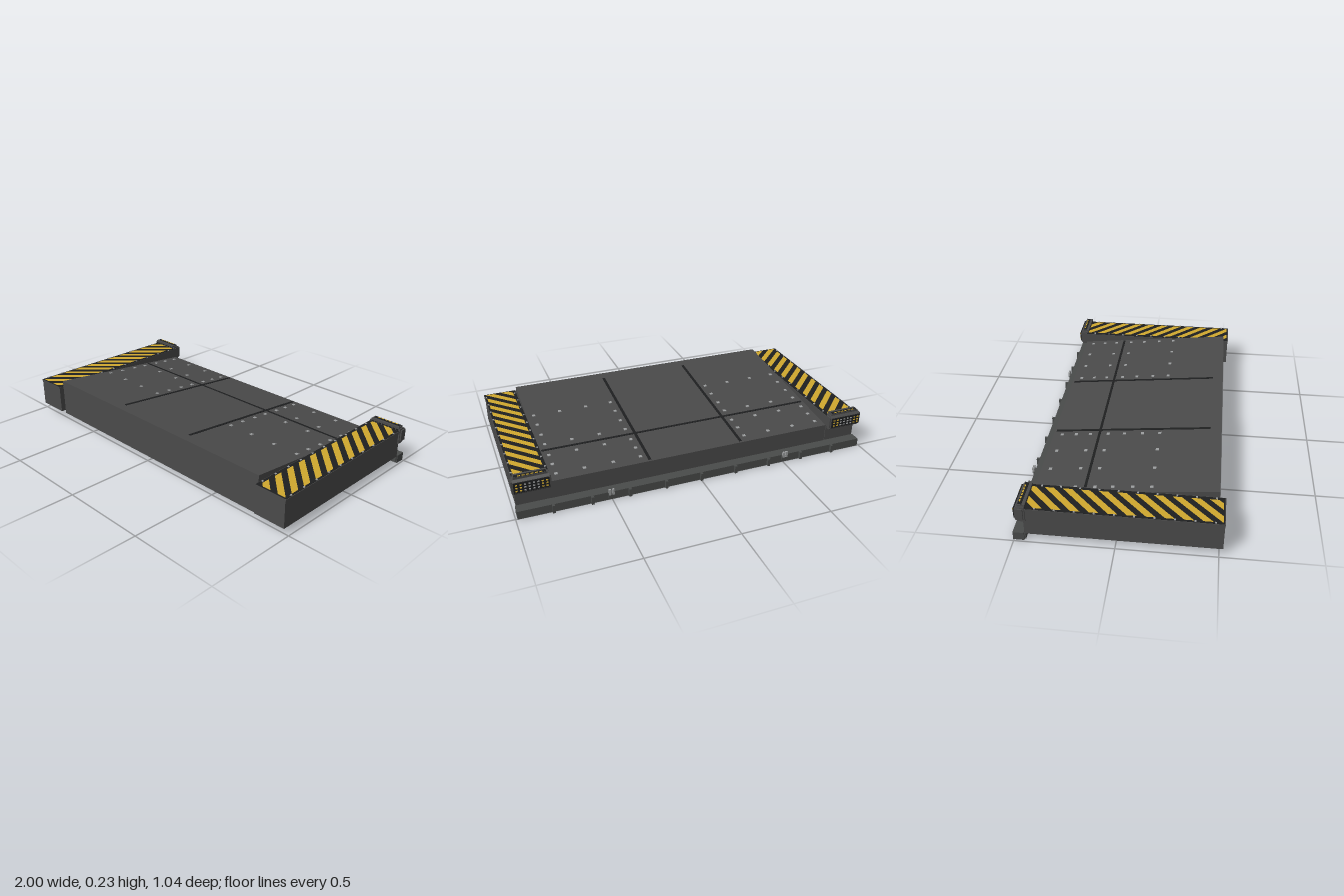
import * as THREE from 'three';

const mat = (name, color) => {
  const m = new THREE.MeshStandardMaterial({ color });
  m.name = name;
  return m;
};

export function createModel() {
  const root = new THREE.Group();
  root.name = 'platform';
  const steel = mat('dark steel', 0x4a4a4a);
  const rail = mat('rail steel', 0x494b4a);
  const black = mat('black', 0x1e1f20);
  const yellow = mat('hazard yellow', 0xd0a82e);
  const bolt = mat('bolt grey', 0x9a9c9d);

  const add = (name, geo, material, parent = root) => {
    const m = new THREE.Mesh(geo, material);
    m.name = name;
    parent.add(m);
    return m;
  };
  // Box given by its lower and upper limits on each axis
  const box = (name, material, x0, x1, y0, y1, z0, z1, parent) => {
    const m = add(name, new THREE.BoxGeometry(Math.abs(x1 - x0), y1 - y0, z1 - z0), material, parent);
    m.position.set((x0 + x1) / 2, (y0 + y1) / 2, (z0 + z1) / 2);
    return m;
  };
  // Side profile of [z, y] points, extruded across x
  const profile = (pts, x0, x1) => {
    const w = Math.abs(x1 - x0);
    const geo = new THREE.ExtrudeGeometry(new THREE.Shape(pts.map(p => new THREE.Vector2(...p))),
      { depth: w, bevelEnabled: false });
    return geo.translate(0, 0, -w / 2).rotateY(-Math.PI / 2).translate((x0 + x1) / 2, 0, 0);
  };

  // Main deck: one flat top sloping down from front to back
  const slope = 0.1;
  const deckY = z => 0.186 + slope * z;
  const backZ = -0.441, frontZ = 0.49;
  add('deck', profile([[backZ, 0.02], [frontZ, 0.02], [frontZ, deckY(frontZ)], [backZ, deckY(backZ)]],
    -0.8, 0.8), steel);

  // Dark seams lying on the sloping deck
  const seam = (name, x0, x1, z0, z1) => add(name, profile([[z0, deckY(z0) - 0.001], [z1, deckY(z1) - 0.001],
    [z1, deckY(z1) + 0.0015], [z0, deckY(z0) + 0.0015]], x0, x1), black);
  for (const x of [-0.265, 0.265]) seam('lengthwiseSeam', x - 0.008, x + 0.008, -0.43, 0.43);
  seam('crossSeam', -0.79, 0.79, -0.187, -0.173);

  // Deck bolts: full outer columns, sparse inner columns
  const boltGeo = new THREE.BoxGeometry(0.017, 0.005, 0.017).rotateX(-Math.atan(slope));
  const rows = [-0.39, -0.31, -0.23, -0.13, -0.04, 0.06, 0.155];
  for (const s of [-1, 1]) {
    [0.305, 0.455, 0.61, 0.76].forEach((x, c) => rows.forEach((z, r) => {
      if ((c === 1 || c === 2) && ![0, 2, 3, 6].includes(r)) return;
      add('deckBolt', boltGeo, bolt).position.set(s * x, deckY(z) + 0.001, z);
    }));
  }

  // Keep the part of a [x, z] polygon where side * (z - limit) >= 0
  const clip = (poly, limit, side) => poly.flatMap((a, i) => {
    const b = poly[(i + 1) % poly.length];
    const da = side * (a[1] - limit), db = side * (b[1] - limit);
    const out = da >= 0 ? [a] : [];
    if (da * db < 0) {
      const t = da / (da - db);
      out.push([a[0] + t * (b[0] - a[0]), a[1] + t * (b[1] - a[1])]);
    }
    return out;
  });

  for (const s of [-1, 1]) {
    const pod = new THREE.Group();
    pod.name = s > 0 ? 'leftSidePod' : 'rightSidePod';
    root.add(pod);

    // Side pod body, lip and black tread
    box('podBody', steel, s * 0.8, s * 0.985, 0.04, 0.191, -0.445, 0.518, pod);
    box('podLip', steel, s * 0.8, s * 0.99, 0.191, 0.2, -0.445, 0.52, pod);
    box('podTread', black, s * 0.803, s * 0.987, 0.2, 0.2012, -0.44, 0.516, pod);

    // Diagonal hazard stripes
    const period = 0.09, xi = 0.82, xo = 0.977, z0 = -0.44, z1 = 0.51;
    for (let z = z0 - 0.2; z < z1; z += period) {
      const run = xo - xi, t = period * 0.52;
      let poly = [[s * xi, z], [s * xo, z + run], [s * xo, z + run + t], [s * xi, z + t]];
      poly = clip(clip(poly, z0, 1), z1, -1);
      if (poly.length < 3) continue;
      const geo = new THREE.ShapeGeometry(new THREE.Shape(poly.map(([x, zz]) => new THREE.Vector2(x, -zz))));
      add('hazardStripe', geo.rotateX(-Math.PI / 2).translate(0, 0.2024, 0), yellow, pod);
    }

    // Small rivets along both tread edges
    const rivetGeo = new THREE.BoxGeometry(0.009, 0.005, 0.009);
    for (let i = 0; i < 10; i++) {
      for (const x of [0.811, 0.982]) {
        add('treadRivet', rivetGeo, bolt, pod).position.set(s * x, 0.2025, -0.385 + i * 0.0955);
      }
    }

    // Rear lamp housing with chamfered back
    const lamp = new THREE.Group();
    lamp.name = 'rearLamp';
    pod.add(lamp);
    add('lampHousing', profile([[-0.433, 0.125], [-0.433, 0.213], [-0.47, 0.213], [-0.483, 0.2],
      [-0.483, 0.14], [-0.467, 0.125]], s * 0.807, s * 0.992), steel, lamp);
    box('lampCap', steel, s * 0.815, s * 0.985, 0.213, 0.223, -0.468, -0.43, lamp);
    box('lampCapInset', black, s * 0.82, s * 0.98, 0.223, 0.2245, -0.465, -0.445, lamp);
    box('lampPanel', black, s * 0.81, s * 0.99, 0.145, 0.202, -0.488, -0.482, lamp);
    for (const x of [0.804, 0.996]) {
      box('lampEndPlate', steel, s * (x - 0.004), s * (x + 0.004), 0.14, 0.205, -0.478, -0.44, lamp);
    }
    // Lens grid, amber at the ends, with marker dashes and slots on the cap
    for (let c = 0; c < 8; c++) {
      const x = 0.823 + c * 0.0219;
      for (let r = 0; r < 3; r++) {
        const y = 0.157 + r * 0.0165;
        box('lens', c < 2 || c > 5 ? yellow : bolt, s * (x - 0.005), s * (x + 0.005),
          y - 0.003, y + 0.003, -0.492, -0.487, lamp);
      }
      box('lampSlot', black, s * (x - 0.007), s * (x + 0.007), 0.203, 0.21, -0.434, -0.431, lamp);
      if (c > 0 && c < 7) {
        box('markerDash', yellow, s * (x - 0.007), s * (x + 0.007), 0.2245, 0.2255, -0.463, -0.456, lamp);
      }
    }
    // Rail mounting block
    box('railMount', rail, s * 0.8, s * 0.985, 0.005, 0.045, -0.449, -0.44, pod);
  }

  // Rear rail with tabs and two connectors
  box('rearRail', rail, -0.99, 0.99, 0, 0.046, -0.504, -0.448);
  for (let i = -4; i <= 4; i++) {
    box('railTab', rail, i * 0.202 - 0.007, i * 0.202 + 0.007, 0.002, 0.046, -0.52, -0.503);
  }
  for (const s of [-1, 1]) {
    box('connectorBase', rail, s * 0.487, s * 0.523, 0.015, 0.046, -0.512, -0.503);
    for (const x of [0.496, 0.514]) {
      box('connectorPin', bolt, s * (x - 0.006), s * (x + 0.006), 0.035, 0.068, -0.518, -0.507);
    }
  }
  return root;
}
